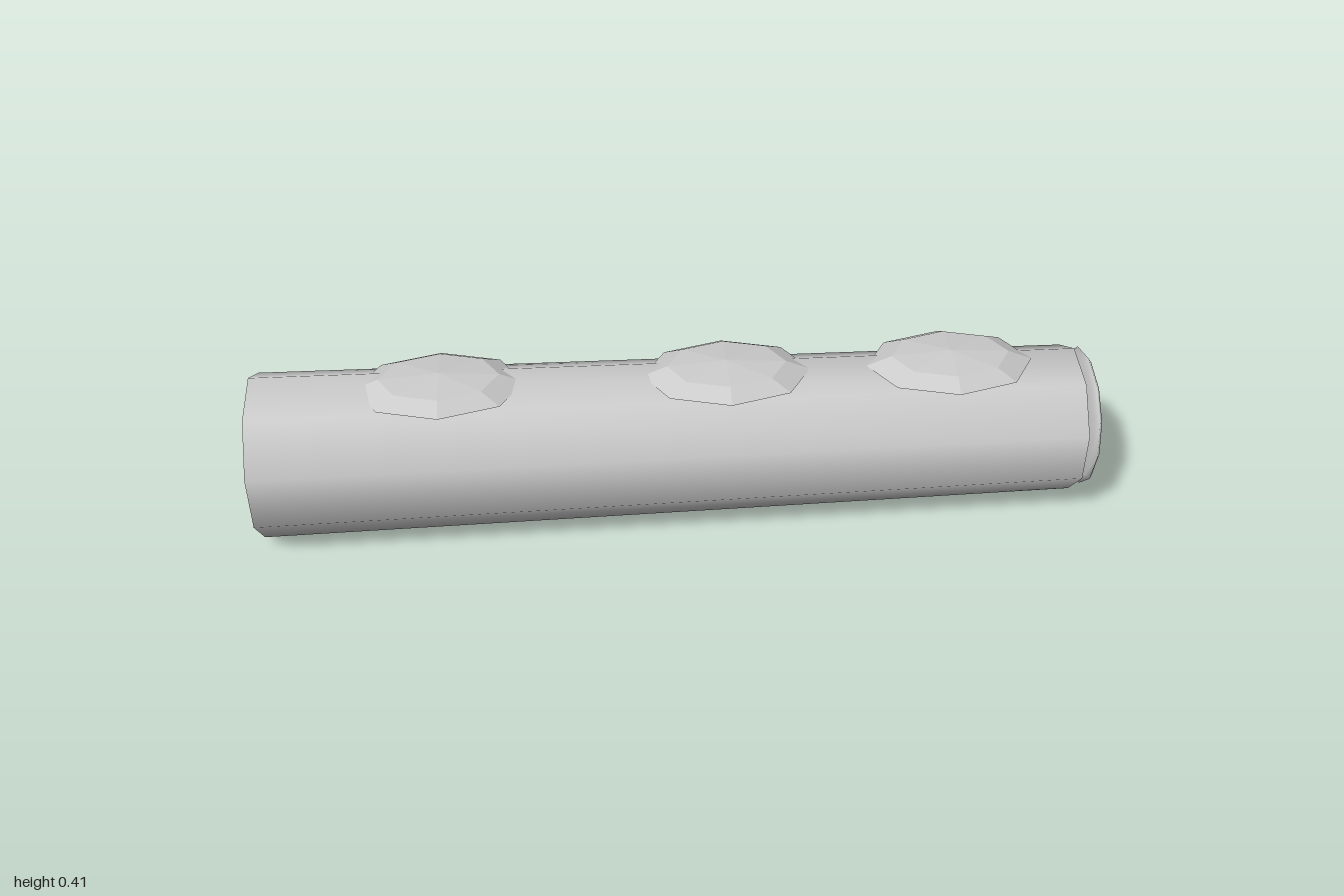
import * as THREE from 'three';
import { mergeVertices } from 'three/addons/utils/BufferGeometryUtils.js';

const AXIS_Y = 0.2, AXIS_Z = 0.007;

// Joins the vertices so that the ends shade smoothly into the sides
function soften(geometry) {
  geometry.deleteAttribute('normal');
  geometry.deleteAttribute('uv');
  const merged = mergeVertices(geometry, 1e-4);
  merged.computeVertexNormals();
  return merged;
}

export function createModel() {
  const group = new THREE.Group();
  group.name = 'log';
  const smooth = new THREE.MeshStandardMaterial({ color: 0xcccccc });
  const faceted = new THREE.MeshStandardMaterial({ color: 0xcccccc, flatShading: true });

  const add = (name, geometry, material, x, y, z) => {
    const mesh = new THREE.Mesh(geometry, material);
    mesh.name = name;
    mesh.position.set(x, y, z);
    group.add(mesh);
  };

  // Tapered nine-sided trunk lying along x
  const trunk = new THREE.CylinderGeometry(0.18, 0.2, 1.95, 9);
  trunk.rotateY(Math.PI).rotateZ(-Math.PI / 2);
  add('trunk', soften(trunk), smooth, -0.025, AXIS_Y, AXIS_Z);

  // Thin lens-shaped cut face just off the narrow end
  const cutFace = new THREE.SphereGeometry(1, 12, 8);
  cutFace.rotateZ(-Math.PI / 2).scale(0.022, 0.168, 0.168);
  add('cutFace', soften(cutFace), smooth, 0.978, AXIS_Y, AXIS_Z);

  // Flattened moss patches along the top
  const moss = new THREE.SphereGeometry(1, 8, 4).scale(0.198, 0.035, 0.133);
  [-0.56, 0.11, 0.64].forEach((x, i) => add(`mossPatch${i + 1}`, moss, faceted, x, 0.376, AXIS_Z));

  return group;
}
